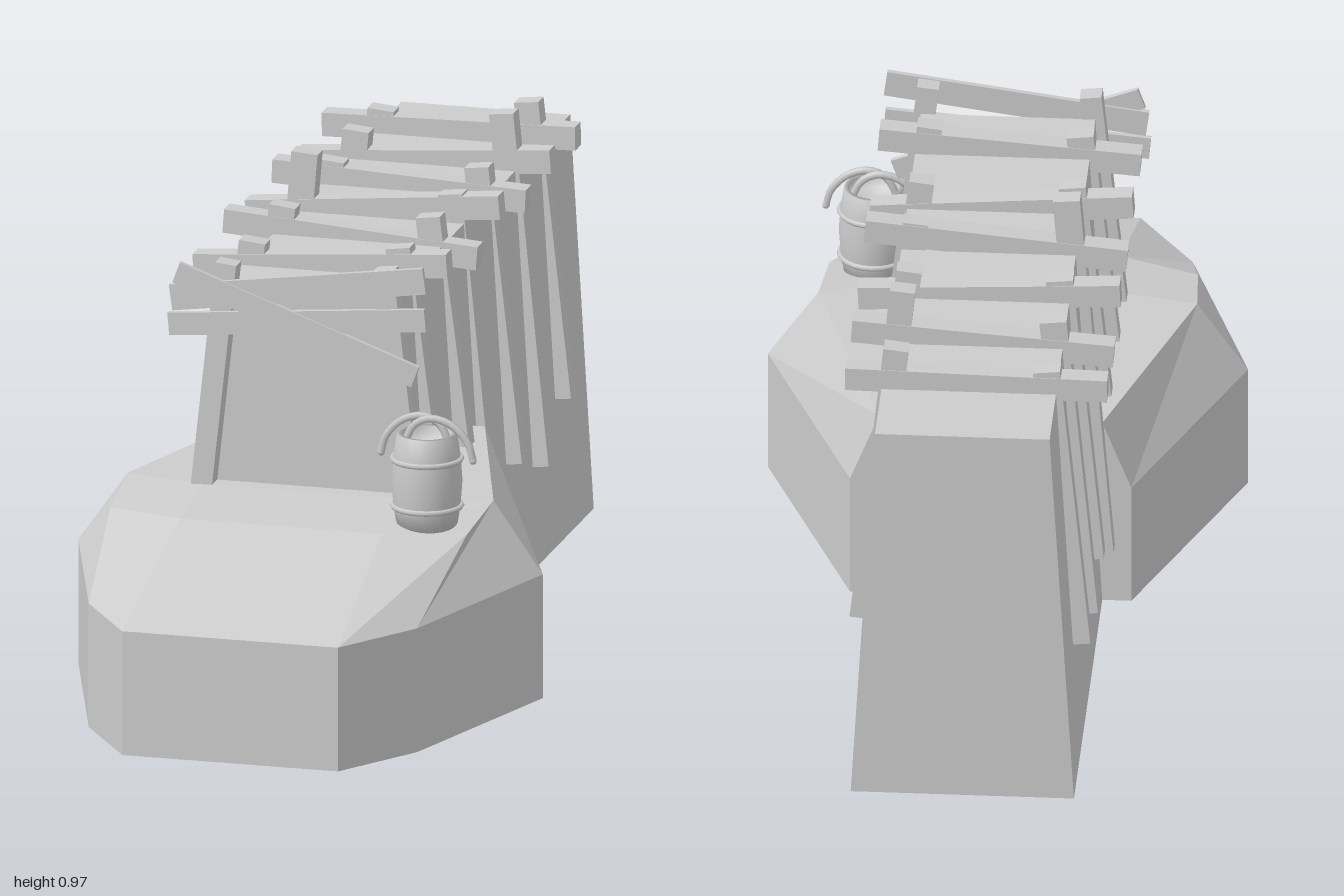
import * as THREE from 'three';

export function createModel() {
  const model = new THREE.Group();
  const mat = new THREE.MeshStandardMaterial({ color: 0xcccccc });
  const flat = new THREE.MeshStandardMaterial({ color: 0xcccccc, flatShading: true });

  function add(name, geometry, parent = model, material = mat) {
    const mesh = new THREE.Mesh(geometry, material);
    mesh.name = name;
    parent.add(mesh);
    return mesh;
  }

  // Timber running between two points of a plane of constant z
  function timber(name, x0, y0, x1, y1, z, width, depth, parent) {
    const length = Math.hypot(x1 - x0, y1 - y0);
    const mesh = add(name, new THREE.BoxGeometry(length, width, depth), parent);
    mesh.position.set((x0 + x1) / 2, (y0 + y1) / 2, z);
    mesh.rotation.z = Math.atan2(y1 - y0, x1 - x0);
    return mesh;
  }

  // Convex polygons, counter-clockwise from outside, fanned into triangles
  function polygons(faces) {
    const pos = [];
    for (const f of faces)
      for (let i = 1; i < f.length - 1; i++) pos.push(...f[0], ...f[i], ...f[i + 1]);
    const g = new THREE.BufferGeometry();
    g.setAttribute('position', new THREE.Float32BufferAttribute(pos, 3));
    g.computeVertexNormals();
    return g;
  }

  // Tunnel body: a block narrowing towards its roof
  const tunnelShape = new THREE.Shape([[-0.23, 0], [0.23, 0], [0.18, 0.84], [-0.18, 0.84]]
    .map(([x, y]) => new THREE.Vector2(x, y)));
  const tunnel = add('tunnelBody',
    new THREE.ExtrudeGeometry(tunnelShape, { depth: 1.37, bevelEnabled: false }));
  tunnel.position.z = -1;

  // Rock mound: vertical foot, sloping shoulder and bevelled top, mirrored in x
  const foot = [[0.23, 1], [0.35, 0.82], [0.495, 0.37], [0.29, -0.15]];
  const rim = foot.map(([x, z]) => [x, 0.265, z]);
  const base = foot.map(([x, z]) => [x, 0, z]);
  const crown = [[0.215, 0.395, 0.6], [0.38, 0.39, 0.54], [0.39, 0.415, 0.37], [0.23, 0.415, -0.15]];
  const brow = [0.22, 0.415, 0.41];
  const flip = ([x, y, z]) => [-x, y, z];
  const half = [];
  for (let i = 0; i < 3; i++) half.push([base[i], base[i + 1], rim[i + 1], rim[i]]);
  half.push(
    [rim[1], crown[2], crown[1]],
    [rim[1], rim[2], crown[2]],
    [rim[2], rim[3], crown[3], crown[2]],
    [rim[0], rim[1], crown[1], crown[0]],
    [crown[0], crown[1], crown[2], brow],
    [brow, crown[2], crown[3]],
  );
  const ring = (f) => [f, flip(f)];
  const [rimL, rimR] = ring(rim[0]);
  const [topL, topR] = ring(crown[0]);
  const [browL, browR] = ring(brow);
  const [backL, backR] = ring(crown[3]);
  const middle = [
    [flip(base[0]), base[0], rimL, rimR],
    [rimR, rimL, topL, topR],
    [topR, topL, browL, browR],
    [browR, browL, backL, backR],
    [base[3], flip(base[3]), flip(rim[3]), backR, backL, rim[3]],
    [...base.map(flip), ...[...base].reverse()],
  ];
  const mirrored = half.map((f) => f.map(flip).reverse());
  add('rockMound', polygons([...half, ...mirrored, ...middle]), model, flat);

  // Timber frames: z, foot and top of left post, foot and top of right post, beam end heights
  const frames = [
    [0.22, 0.41, 0.9, 0.41, 0.89, 0.83, 0.87],
    [-0.015, 0.41, 0.9, 0.41, 0.9, 0.86, 0.82],
    [-0.19, 0.06, 0.9, 0.14, 0.965, 0.83, 0.88],
    [-0.395, 0.27, 0.9, 0.24, 0.89, 0.86, 0.835],
    [-0.59, 0.21, 0.96, 0.22, 0.9, 0.825, 0.865],
    [-0.785, 0.3, 0.93, 0.255, 0.89, 0.85, 0.86],
  ];
  const wallX = (y) => 0.23 - 0.06 * y;
  frames.forEach(([z, footL, topL, footR, topR, beamR, beamL], i) => {
    const frame = new THREE.Group();
    frame.name = 'timberFrame' + (i + 1);
    model.add(frame);
    timber('leftPost', wallX(footL) + 0.008, footL, 0.15, topL, z, 0.052, 0.042, frame);
    timber('rightPost', -wallX(footR) - 0.008, footR, -0.16, topR, z, 0.056, 0.042, frame);
    timber('crossBeam', -0.285, beamR, 0.255, beamL, z, 0.05, 0.045, frame);
  });

  // Entrance frame with planks nailed across it
  const entrance = new THREE.Group();
  entrance.name = 'entranceFrame';
  model.add(entrance);
  timber('leftPost', 0.222, 0.41, 0.165, 0.9, 0.39, 0.045, 0.042, entrance);
  timber('rightPost', -0.222, 0.41, -0.17, 0.89, 0.39, 0.045, 0.042, entrance);
  timber('upperPlank', -0.285, 0.812, 0.255, 0.887, 0.413, 0.055, 0.012, entrance);
  timber('lowerPlank', -0.29, 0.755, 0.257, 0.803, 0.413, 0.048, 0.012, entrance);
  timber('diagonalPlank', -0.272, 0.868, 0.237, 0.682, 0.418, 0.046, 0.012, entrance);

  // Open barrel with two hoops
  const barrel = new THREE.Group();
  barrel.name = 'barrel';
  barrel.position.set(0.285, 0.39, 0.505);
  model.add(barrel);
  const profile = [[0, 0], [0.062, 0], [0.069, 0.045], [0.073, 0.1], [0.069, 0.155],
    [0.062, 0.2], [0.052, 0.2], [0.055, 0.17], [0, 0.17]].map(([x, y]) => new THREE.Vector2(x, y));
  add('barrelBody', new THREE.LatheGeometry(profile, 24), barrel);
  for (const y of [0.047, 0.147]) {
    const hoop = add('hoop', new THREE.TorusGeometry(0.071, 0.006, 6, 24), barrel);
    hoop.rotation.x = Math.PI / 2;
    hoop.position.y = y;
  }

  // Two curved handles crossing over the opening
  for (const s of [-1, 1]) {
    const curve = new THREE.CatmullRomCurve3([[0.1, 0.15], [0.09, 0.185], [0.055, 0.222],
      [0.01, 0.234], [-0.025, 0.218], [-0.045, 0.18]]
      .map(([x, y]) => new THREE.Vector3(s * x, y, s * 0.008)));
    add('handle', new THREE.TubeGeometry(curve, 14, 0.008, 6), barrel);
    const tip = add('handleTip', new THREE.SphereGeometry(0.008, 8, 6), barrel);
    tip.position.set(s * 0.1, 0.15, s * 0.008);
  }
  return model;
}
